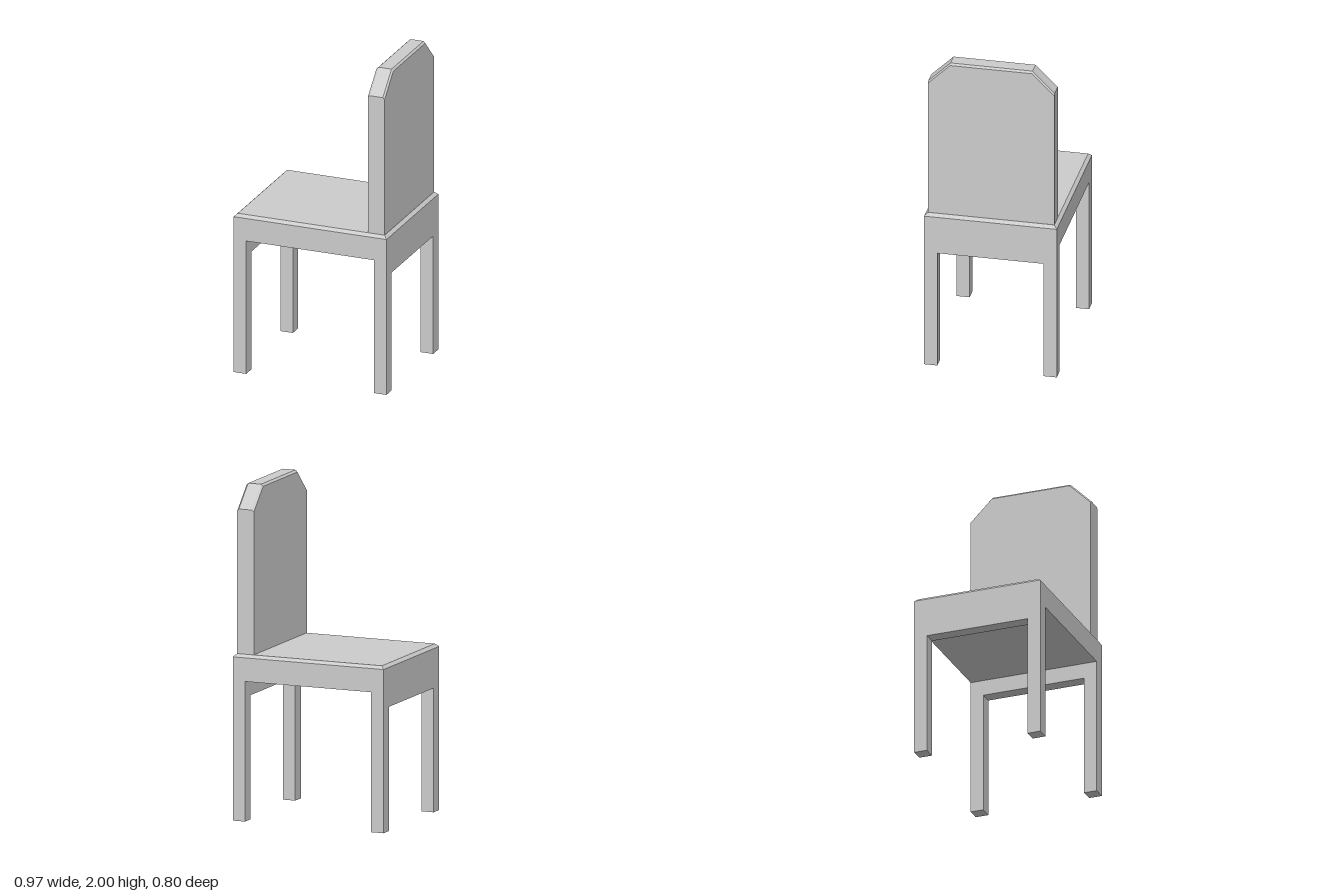
import * as THREE from 'three';

const material = new THREE.MeshStandardMaterial({ color: 0xcccccc, flatShading: true });

// Closed solid through matching rings of points (counter-clockwise seen from the last ring)
function loft(rings) {
  const n = rings[0].length;
  const pos = [];
  const tri = (...pts) => pts.forEach((p) => pos.push(...p));
  for (let r = 0; r < rings.length - 1; r++) {
    for (let i = 0; i < n; i++) {
      const j = (i + 1) % n;
      const [a, b, c, d] = [rings[r][i], rings[r][j], rings[r + 1][j], rings[r + 1][i]];
      tri(a, b, c);
      tri(a, c, d);
    }
  }
  const first = rings[0], last = rings[rings.length - 1];
  for (let i = 1; i < n - 1; i++) {
    tri(first[0], first[i + 1], first[i]);
    tri(last[0], last[i], last[i + 1]);
  }
  const geo = new THREE.BufferGeometry();
  geo.setAttribute('position', new THREE.Float32BufferAttribute(pos, 3));
  geo.computeVertexNormals();
  return geo;
}

export function createModel() {
  const chair = new THREE.Group();
  chair.name = 'chair';
  const add = (name, geo) => {
    const mesh = new THREE.Mesh(geo, material);
    mesh.name = name;
    chair.add(mesh);
    return mesh;
  };

  const W = 0.487, D = 0.4, leg = 0.08;
  const seatBottom = 0.84, apronBottom = 0.745;

  // Seat slab with a chamfered upper rim
  const seatRing = (y, inset) => {
    const x = W - inset, z = D - inset;
    return [[x, y, z], [x, y, -z], [-x, y, -z], [-x, y, z]];
  };
  add('seat', loft([seatRing(seatBottom, 0), seatRing(0.982, 0), seatRing(1, 0.019)]));

  // Backrest with clipped corners and a small bevel along its upper edges
  const backRing = (x, drop) => {
    const shoulder = 1.868 - drop, top = 2 - drop;
    return [
      [x, 1, -0.381], [x, shoulder, -0.381], [x, top, -0.247],
      [x, top, 0.247], [x, shoulder, 0.381], [x, 1, 0.381],
    ];
  };
  add('backrest', loft([
    backRing(0.36, 0.012), backRing(0.373, 0), backRing(0.456, 0), backRing(0.467, 0.012),
  ]));

  // End frames: two legs joined by an apron
  const inner = D - leg;
  const frame = new THREE.Shape([
    [-D, 0], [-inner, 0], [-inner, apronBottom], [inner, apronBottom],
    [inner, 0], [D, 0], [D, seatBottom], [-D, seatBottom],
  ].map(([u, v]) => new THREE.Vector2(u, v)));
  const frameGeo = new THREE.ExtrudeGeometry(frame, { depth: leg, bevelEnabled: false });
  frameGeo.translate(0, 0, -leg / 2).rotateY(Math.PI / 2);
  add('backLegFrame', frameGeo).position.x = W - leg / 2;
  add('frontLegFrame', frameGeo).position.x = -W + leg / 2;

  return chair;
}
